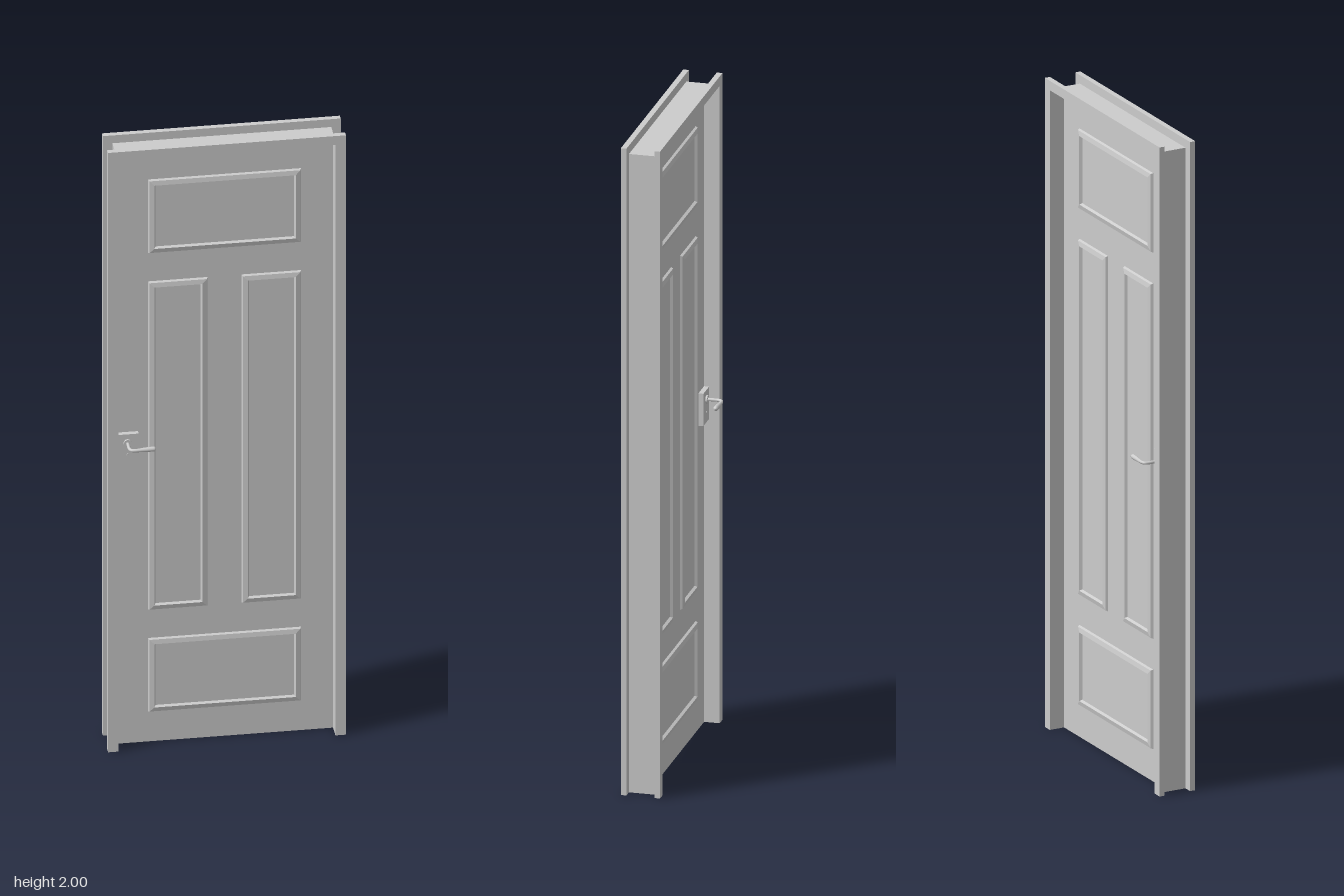
import * as THREE from 'three';

const mat = new THREE.MeshStandardMaterial({ color: 0xcccccc });
const flatMat = new THREE.MeshStandardMaterial({ color: 0xcccccc, flatShading: true });

const SLAB = 0.012;   // half thickness of the door leaf
const TRIM = 0.059;   // outer z of the trim
const TRIM_IN = 0.042; // inner z of the trim

function add(parent, name, geometry, material = mat) {
  const mesh = new THREE.Mesh(geometry, material);
  mesh.name = name;
  parent.add(mesh);
  return mesh;
}

// Box given by its minimum and maximum corners
function box(parent, name, x0, x1, y0, y1, z0, z1) {
  const mesh = add(parent, name, new THREE.BoxGeometry(x1 - x0, y1 - y0, z1 - z0));
  mesh.position.set((x0 + x1) / 2, (y0 + y1) / 2, (z0 + z1) / 2);
  return mesh;
}

// Upside-down U around the door opening, open at the floor
function portal(parent, name, outer, top, inner, innerTop, z0, z1) {
  const shape = new THREE.Shape([
    [-outer, 0], [-inner, 0], [-inner, innerTop], [inner, innerTop],
    [inner, 0], [outer, 0], [outer, top], [-outer, top],
  ].map(([x, y]) => new THREE.Vector2(x, y)));
  const geometry = new THREE.ExtrudeGeometry(shape, { depth: z1 - z0, bevelEnabled: false });
  geometry.translate(0, 0, z0);
  return add(parent, name, geometry);
}

// Raised moulding and panel: nested rectangles following [inset, height]
const MOULDING = [[0, 0], [0.003, 0.007], [0.017, 0.010], [0.021, 0.002], [0.026, 0.002]];
function panel(parent, name, x0, x1, y0, y1) {
  const positions = [], index = [];
  MOULDING.forEach(([d, z], i) => {
    positions.push(x0 + d, y0 + d, z, x1 - d, y0 + d, z, x1 - d, y1 - d, z, x0 + d, y1 - d, z);
    if (i === 0) return;
    for (let k = 0; k < 4; k++) {
      const a = (i - 1) * 4 + k, b = (i - 1) * 4 + (k + 1) % 4;
      index.push(a, b, b + 4, a, b + 4, a + 4);
    }
  });
  const c = (MOULDING.length - 1) * 4;
  index.push(c, c + 1, c + 2, c, c + 2, c + 3);
  const indexed = new THREE.BufferGeometry();
  indexed.setAttribute('position', new THREE.Float32BufferAttribute(positions, 3));
  indexed.setIndex(index);
  const geometry = indexed.toNonIndexed();
  geometry.computeVertexNormals();
  return add(parent, name, geometry, flatMat);
}

// Bent lever: a tube whose radius swells towards a rounded tip
function leverGeometry(side) {
  const p = (x, z) => new THREE.Vector3(x, 1.01, z * side);
  const path = new THREE.CatmullRomCurve3([
    p(-0.288, 0.020), p(-0.288, 0.045), p(-0.288, 0.063), p(-0.284, 0.073),
    p(-0.274, 0.0765), p(-0.245, 0.0755), p(-0.211, 0.0745),
  ]);
  const rings = 48, sides = 14;
  const geometry = new THREE.TubeGeometry(path, rings, 1, sides, false);
  const pos = geometry.attributes.position, v = new THREE.Vector3();
  for (let i = 0; i <= rings; i++) {
    const t = i / rings, centre = path.getPointAt(t);
    const swell = 0.0048 + 0.0025 * THREE.MathUtils.smoothstep(t, 0.45, 0.9);
    const tip = Math.max(0, (t - 0.95) / 0.05);
    const radius = swell * Math.sqrt(Math.max(0, 1 - tip * tip));
    for (let j = 0; j <= sides; j++) {
      const k = i * (sides + 1) + j;
      v.fromBufferAttribute(pos, k).sub(centre).multiplyScalar(radius).add(centre);
      pos.setXYZ(k, v.x, v.y, v.z);
    }
  }
  geometry.computeVertexNormals();
  return geometry;
}

// Lock plate, rosette, lever and keyhole barrel on one face of the door
function handle(side) {
  const group = new THREE.Group();
  const plateZ = 0.027;
  const plate = box(group, 'lockPlate', -0.319, -0.255, 0.938, 1.038, SLAB - 0.002, plateZ);
  plate.position.z *= side;
  for (const [name, y, r, h] of [['rosette', 1.01, 0.012, 0.006], ['keyBarrel', 0.97, 0.004, 0.002]]) {
    const disc = add(group, name, new THREE.CylinderGeometry(r, r, h, 20));
    disc.rotation.x = Math.PI / 2;
    disc.position.set(-0.288, y, side * (plateZ + h / 2 - 0.0005));
  }
  add(group, 'lever', leverGeometry(side));
  return group;
}

export function createModel() {
  const model = new THREE.Group();
  model.name = 'panelledDoor';

  // Frame: two trims joined by a thin recessed lining
  const frame = new THREE.Group();
  frame.name = 'frame';
  portal(frame, 'frontTrim', 0.35, 2, 0.319, 1.971, TRIM_IN, TRIM);
  portal(frame, 'backTrim', 0.35, 2, 0.319, 1.971, -TRIM, -TRIM_IN);
  portal(frame, 'lining', 0.322, 1.974, 0.319, 1.971, -TRIM_IN, TRIM_IN);
  model.add(frame);

  // Door leaf
  box(model, 'doorLeaf', -0.319, 0.319, 0, 1.971, -SLAB, SLAB);

  // Four panels on each face
  for (const side of [1, -1]) {
    const face = new THREE.Group();
    face.name = side > 0 ? 'frontPanels' : 'backPanels';
    panel(face, 'topPanel', -0.225, 0.225, 1.63, 1.875);
    panel(face, 'rightPanel', -0.225, -0.05, 0.44, 1.535);
    panel(face, 'leftPanel', 0.05, 0.225, 0.44, 1.535);
    panel(face, 'bottomPanel', -0.225, 0.225, 0.10, 0.345);
    face.position.z = side * SLAB;
    if (side < 0) face.rotation.y = Math.PI;
    model.add(face);

    const grip = handle(side);
    grip.name = side > 0 ? 'frontHandle' : 'backHandle';
    model.add(grip);
  }
  return model;
}
